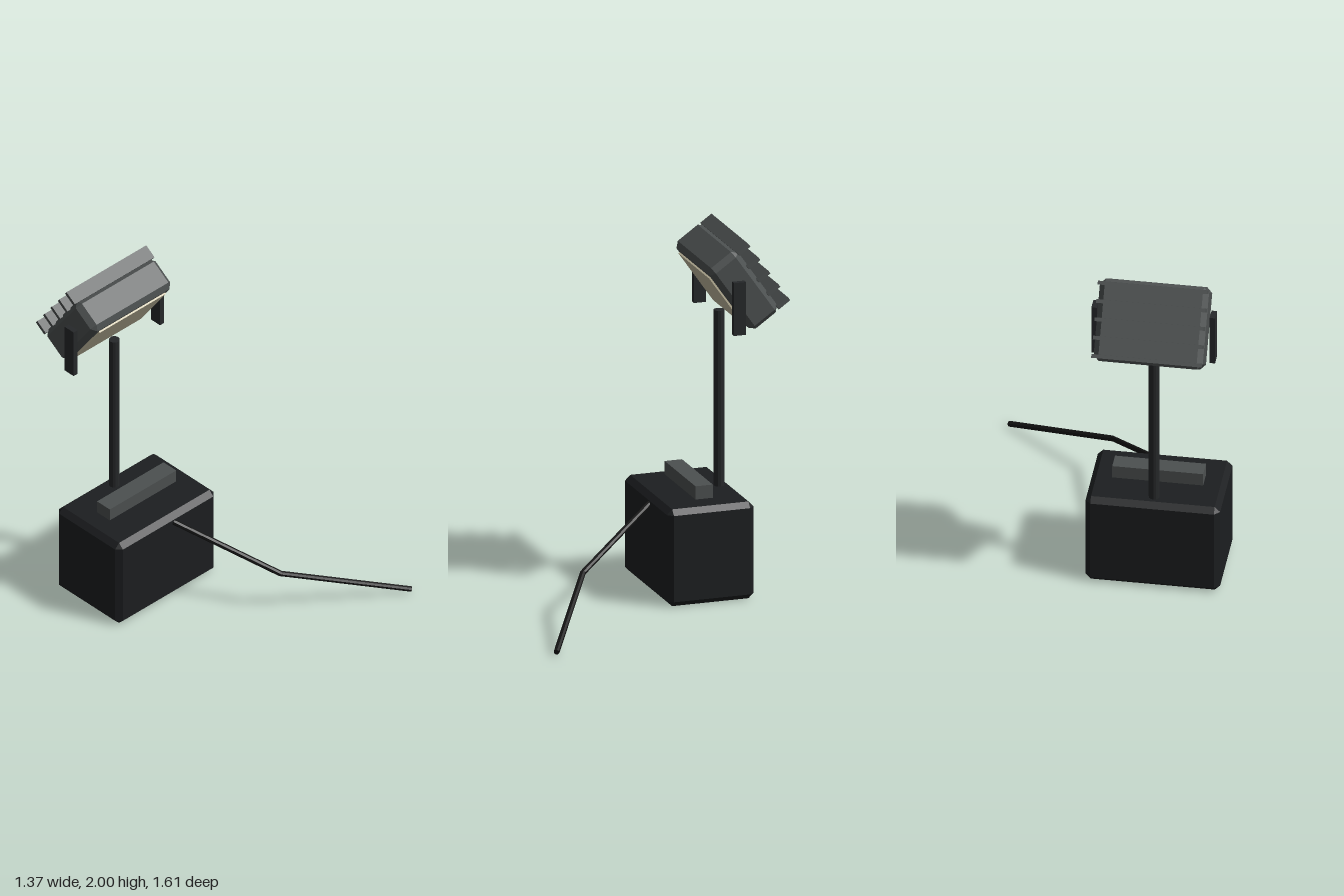
import * as THREE from 'three';
import { ConvexGeometry } from 'three/addons/geometries/ConvexGeometry.js';

const CENTER_X = -0.32;
const TILT = THREE.MathUtils.degToRad(35);

const mat = (color) => new THREE.MeshStandardMaterial({ color, flatShading: true });
const black = mat(0x1c1e20);
const darkGrey = mat(0x26282a);
const grey = mat(0x4c5050);
const glass = mat(0xc8c0a4);
const rubber = mat(0x141414);

function add(parent, name, geometry, material, x = 0, y = 0, z = 0) {
  const mesh = new THREE.Mesh(geometry, material);
  mesh.name = name;
  mesh.position.set(x, y, z);
  parent.add(mesh);
  return mesh;
}

// Box with every edge and corner cut flat
function chamferBox(w, h, d, c) {
  const points = [];
  for (const sx of [-1, 1]) for (const sy of [-1, 1]) for (const sz of [-1, 1]) {
    for (let full = 0; full < 3; full++) {
      points.push(new THREE.Vector3(
        sx * (w / 2 - (full === 0 ? 0 : c)),
        sy * (h / 2 - (full === 1 ? 0 : c)),
        sz * (d / 2 - (full === 2 ? 0 : c))));
    }
  }
  return new ConvexGeometry(points);
}

// Straight round rod between two points
function rod(parent, name, a, b, radius, material) {
  const dir = b.clone().sub(a);
  const mesh = add(parent, name, new THREE.CylinderGeometry(radius, radius, dir.length(), 8), material);
  mesh.position.copy(a).lerp(b, 0.5);
  mesh.quaternion.setFromUnitVectors(new THREE.Vector3(0, 1, 0), dir.normalize());
}

export function createModel() {
  const model = new THREE.Group();
  model.name = 'floodlight';

  // Battery base with carry handle
  add(model, 'base', chamferBox(0.74, 0.55, 0.5, 0.03), black, CENTER_X, 0.277, -0.33);
  add(model, 'handle', new THREE.BoxGeometry(0.5, 0.075, 0.1), grey, CENTER_X, 0.602, -0.327);

  // Mast
  add(model, 'mast', new THREE.CylinderGeometry(0.03, 0.03, 1.02, 12), darkGrey, CENTER_X, 1.04, -0.502);

  // Side brackets
  for (const side of [-1, 1]) {
    add(model, side < 0 ? 'rightBracket' : 'leftBracket',
      new THREE.BoxGeometry(0.03, 0.3, 0.07), darkGrey, CENTER_X + side * 0.325, 1.65, -0.502);
  }

  // Lamp head, tilted to shine downwards
  const head = new THREE.Group();
  head.name = 'lampHead';
  head.position.set(CENTER_X, 1.732, -0.546);
  head.rotation.x = TILT;
  model.add(head);
  add(head, 'housing', chamferBox(0.6, 0.45, 0.2, 0.03), grey);
  add(head, 'lens', new THREE.BoxGeometry(0.5, 0.35, 0.02), glass, 0, 0, 0.1);

  // Cooling fins on the back
  for (let i = -2; i <= 2; i++) {
    add(head, 'coolingFin', new THREE.BoxGeometry(0.6, 0.02, 0.08), grey, 0, i * 0.1, -0.13);
  }

  // Power cable with one bend
  const cable = new THREE.Group();
  cable.name = 'cable';
  model.add(cable);
  const path = [[-0.275, 0.505, -0.085], [0.05, 0.255, 0.415], [0.675, 0.022, 0.79]]
    .map((p) => new THREE.Vector3(...p));
  for (let i = 0; i < 2; i++) rod(cable, 'cableSection', path[i], path[i + 1], 0.016, rubber);
  add(cable, 'cableBend', new THREE.SphereGeometry(0.016, 8, 6), rubber, path[1].x, path[1].y, path[1].z);

  return model;
}
